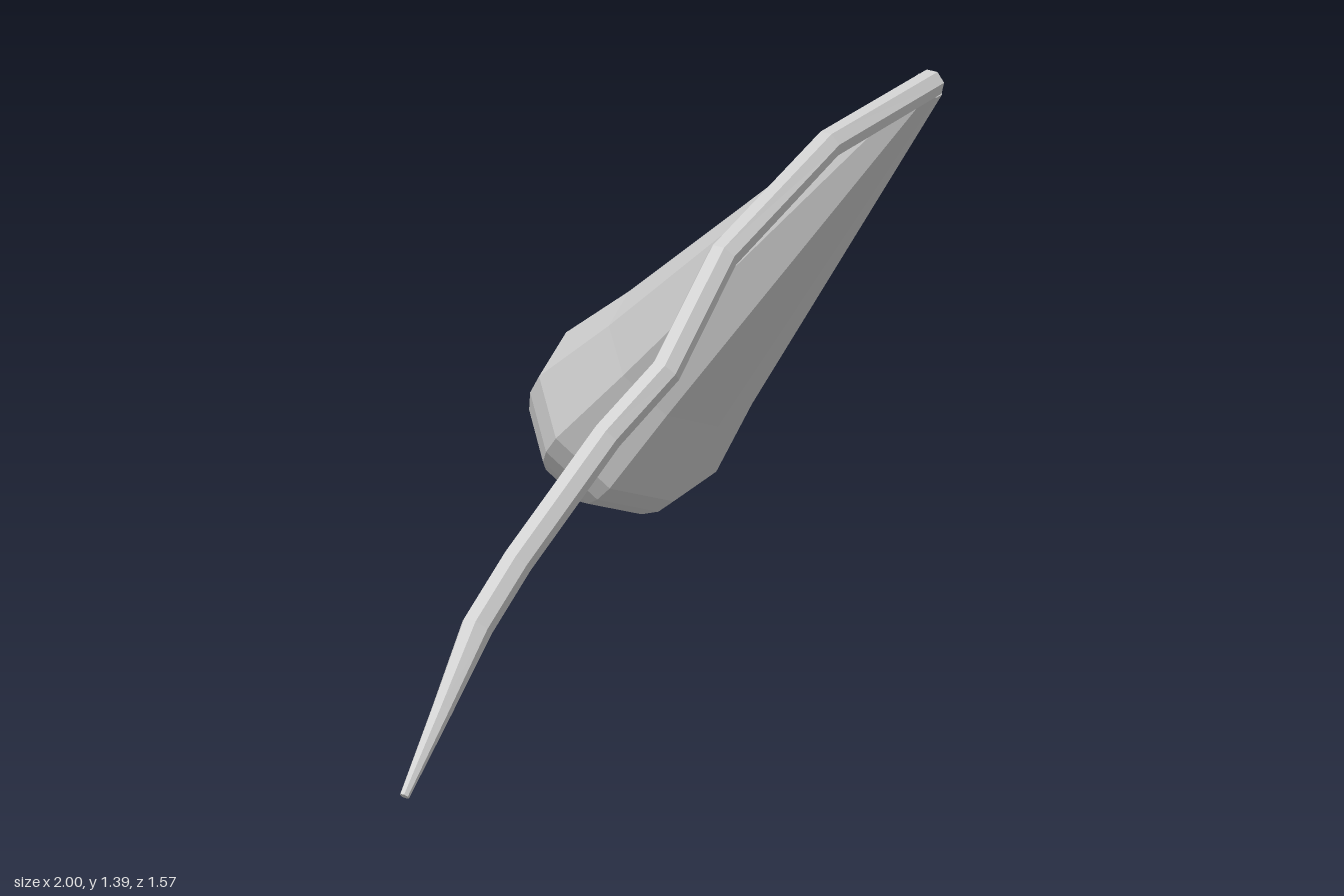
import * as THREE from 'three';

// Low-poly sweep: rings of given radii around a path, closed at both ends.
// ref sets the direction of angle 0, roll turns the rings about the path.
function sweep(points, radii, sides, ref, roll) {
  const pos = [], index = [], n = points.length;
  points.forEach((p, i) => {
    const t = new THREE.Vector3();
    if (i > 0) t.add(p.clone().sub(points[i - 1]).normalize());
    if (i < n - 1) t.add(points[i + 1].clone().sub(p).normalize());
    t.normalize();
    const u = ref.clone().addScaledVector(t, -ref.dot(t)).normalize();
    const v = u.clone().cross(t);
    for (let j = 0; j < sides; j++) {
      const a = roll + (j / sides) * Math.PI * 2;
      const q = p.clone()
        .addScaledVector(u, Math.cos(a) * radii[i])
        .addScaledVector(v, Math.sin(a) * radii[i]);
      pos.push(q.x, q.y, q.z);
    }
  });
  const start = n * sides, end = start + 1, last = (n - 1) * sides;
  pos.push(...points[0].toArray(), ...points[n - 1].toArray());
  for (let j = 0; j < sides; j++) {
    const k = (j + 1) % sides;
    for (let i = 0; i < n - 1; i++) {
      const a = i * sides + j, b = a + sides, c = i * sides + k, d = c + sides;
      index.push(a, b, c, c, b, d);
    }
    index.push(start, j, k, end, last + k, last + j);
  }
  const indexed = new THREE.BufferGeometry();
  indexed.setAttribute('position', new THREE.Float32BufferAttribute(pos, 3));
  indexed.setIndex(index);
  const geometry = indexed.toNonIndexed();
  geometry.computeVertexNormals();
  return geometry;
}

export function createModel() {
  const group = new THREE.Group();
  const material = new THREE.MeshStandardMaterial({ color: 0xcccccc, flatShading: true });
  const add = (name, geometry) => {
    const mesh = new THREE.Mesh(geometry, material);
    mesh.name = name;
    group.add(mesh);
  };

  // Arching stem, tapering to its lower tip: x, y, z, radius
  const stem = [
    [-0.99, 0.01, 0.755, 0.01],
    [-0.865, 0.155, 0.715, 0.022],
    [-0.75, 0.30, 0.682, 0.034],
    [-0.645, 0.42, 0.682, 0.034],
    [-0.42, 0.66, 0.705, 0.034],
    [-0.295, 0.79, 0.748, 0.034],
    [-0.12, 1.02, 0.735, 0.034],
    [0.24, 1.24, 0.69, 0.034],
    [0.64, 1.365, 0.638, 0.034],
  ];
  add('stem', sweep(stem.map(s => new THREE.Vector3(s[0], s[1], s[2])), stem.map(s => s[3]),
    7, new THREE.Vector3(0, 0, 1), 0));

  // Hanging teardrop bulb: distance along its axis, radius
  const bulb = [
    [0, 0.037], [1.18, 0.227], [1.472, 0.288], [1.549, 0.277],
    [1.62, 0.245], [1.69, 0.192], [1.762, 0],
  ];
  const top = new THREE.Vector3(0.635, 1.36, 0.635);
  const axis = new THREE.Vector3(0.082, -0.935, -1.135).normalize();
  add('bulb', sweep(bulb.map(b => top.clone().addScaledVector(axis, b[0])), bulb.map(b => b[1]),
    9, new THREE.Vector3(1, 0, 0), THREE.MathUtils.degToRad(28)));

  return group;
}
